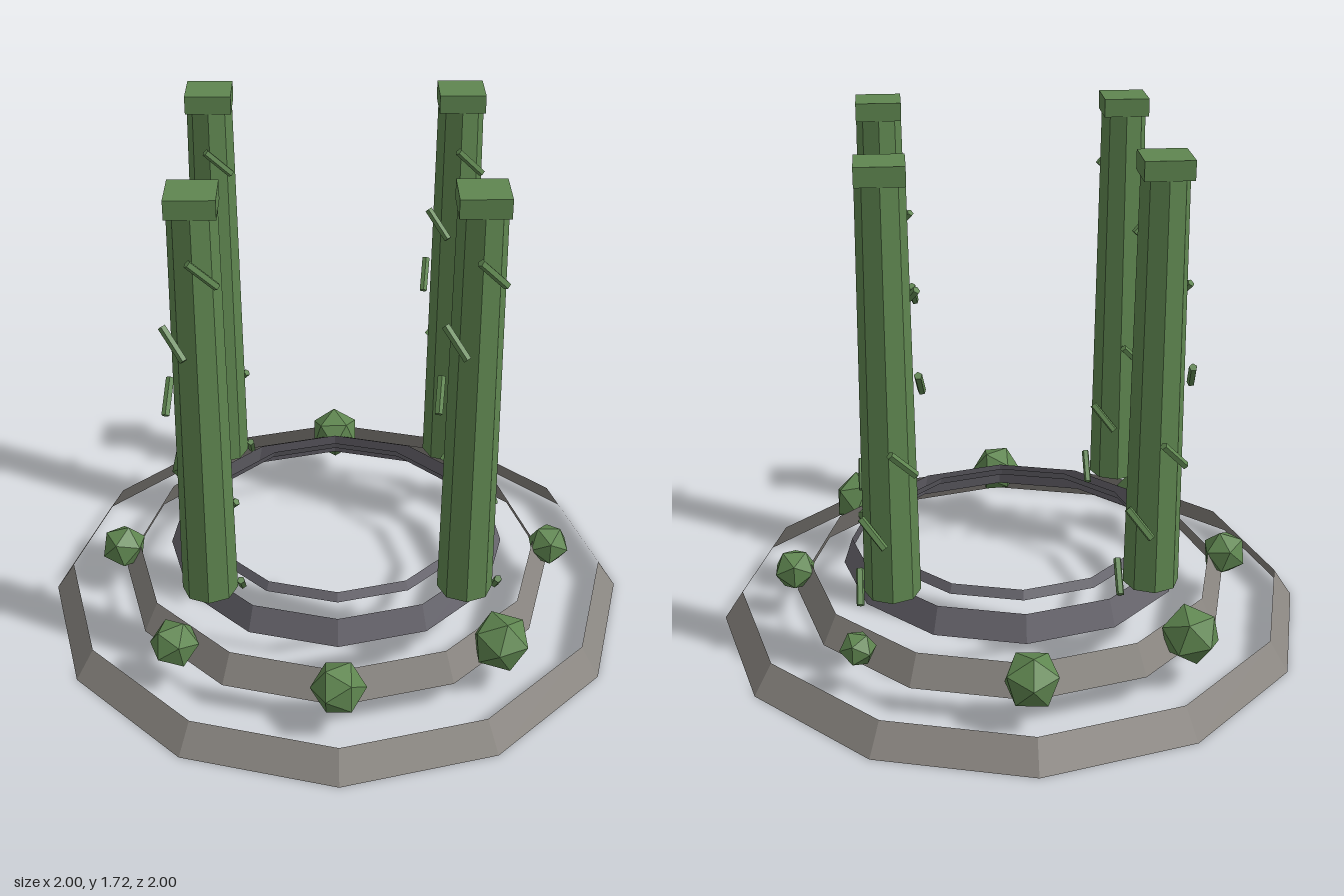
import * as THREE from 'three';

const material = (name, color) => {
  const m = new THREE.MeshStandardMaterial({ color, flatShading: true });
  m.name = name;
  return m;
};

export function createModel() {
  const model = new THREE.Group();
  model.name = 'overgrownShrine';

  const paleStone = material('pale stone', 0x8b8782);
  const darkStone = material('dark stone', 0x6a6870);
  paleStone.side = darkStone.side = THREE.DoubleSide;
  const moss = material('moss green', 0x5f8650);

  const add = (parent, name, geometry, mat, x, y, z) => {
    const mesh = new THREE.Mesh(geometry, mat);
    mesh.name = name;
    mesh.position.set(x, y, z);
    parent.add(mesh);
    return mesh;
  };

  // Stepped base: open, sloping twelve-sided bands [bottom radius, top radius, y0, y1]
  [
    [1.0, 0.935, 0, 0.1, paleStone],
    [0.745, 0.695, 0.1, 0.2, paleStone],
    [0.58, 0.55, 0.2, 0.29, darkStone],
    [0.465, 0.45, 0.29, 0.32, darkStone],
  ].forEach(([bottom, top, y0, y1, mat], i) => {
    const band = new THREE.CylinderGeometry(top, bottom, y1 - y0, 12, 1, true);
    add(model, `baseStep${i + 1}`, band, mat, 0, (y0 + y1) / 2, 0);
  });

  // Four pillars, each with a square cap and a spiral of vine pieces
  const shaft = new THREE.CylinderGeometry(0.075, 0.09, 1.34, 8);
  const cap = new THREE.BoxGeometry(0.15, 0.06, 0.15);
  const vine = new THREE.CylinderGeometry(0.013, 0.013, 0.12, 5);
  const up = new THREE.Vector3(0, 1, 0);
  for (const x of [-0.415, 0.415]) {
    for (const z of [-0.415, 0.415]) {
      const pillar = new THREE.Group();
      pillar.name = 'pillar';
      pillar.position.set(x, 0, z);
      add(pillar, 'shaft', shaft, moss, 0, 0.99, 0);
      add(pillar, 'cap', cap, moss, 0, 1.69, 0);
      for (let i = 0; i < 6; i++) {
        // One radian of turn per piece, sloping along the tangent
        const c = Math.cos(i), s = Math.sin(i);
        const piece = add(pillar, 'vine', vine, moss, 0.103 * c, 0.335 + 0.233 * i, -0.103 * s);
        const direction = new THREE.Vector3(s, 1, c).normalize();
        piece.quaternion.setFromUnitVectors(up, direction);
      }
      model.add(pillar);
    }
  }

  // Eight mossy boulders around the second step, starting at +x and turning toward +z
  [0.075, 0.1, 0.09, 0.083, 0.08, 0.1, 0.095, 0.06].forEach((radius, i) => {
    const angle = (i * Math.PI) / 4;
    const boulder = add(model, 'boulder', new THREE.IcosahedronGeometry(radius, 0), moss,
      0.75 * Math.cos(angle), 0.18, 0.75 * Math.sin(angle));
    boulder.rotation.set(i * 0.9, i * 1.3, 0);
  });

  return model;
}
